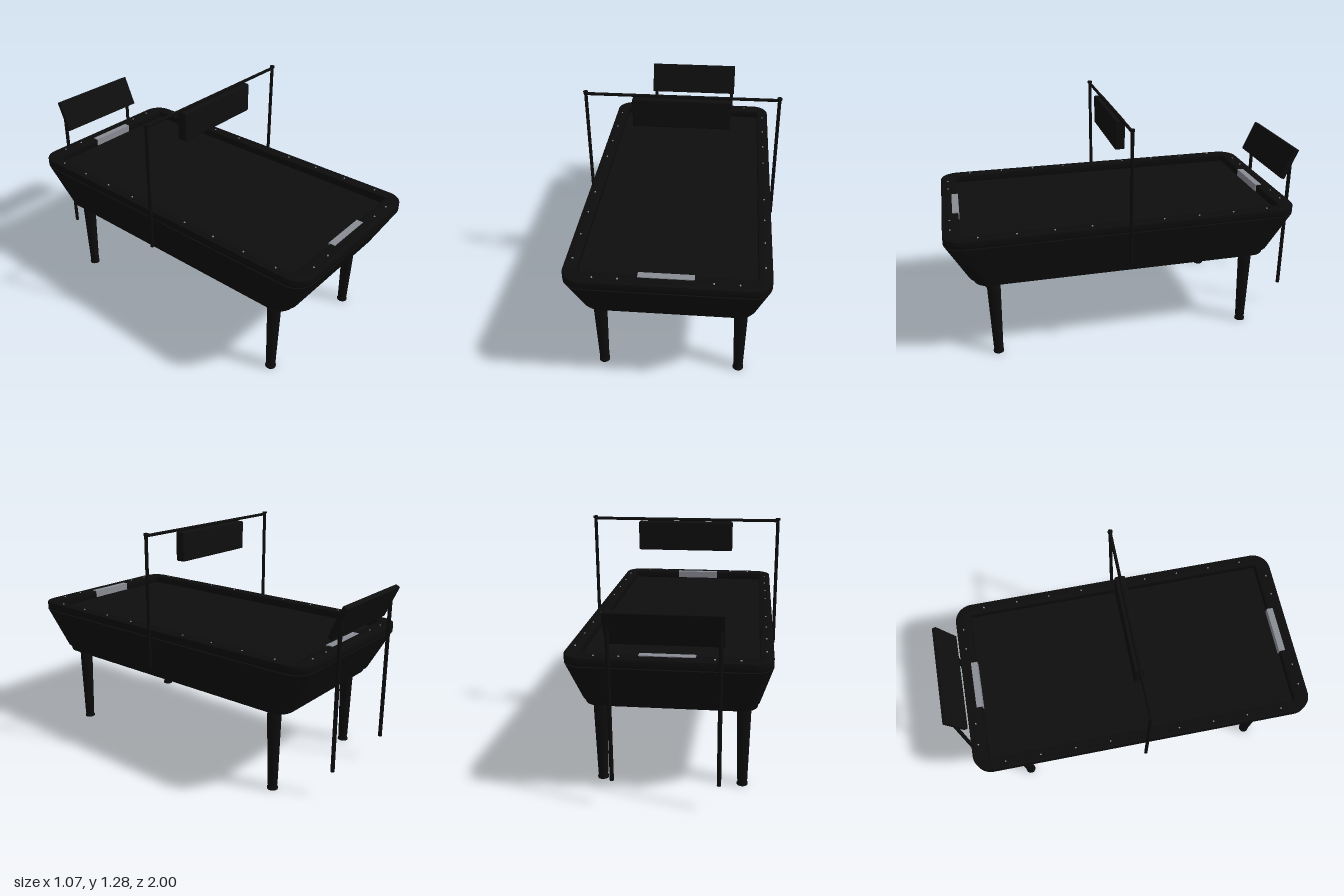
import * as THREE from 'three';
import { toCreasedNormals } from 'three/addons/utils/BufferGeometryUtils.js';
import { RoundedBoxGeometry } from 'three/addons/geometries/RoundedBoxGeometry.js';

const mat = (name, color) => {
  const m = new THREE.MeshStandardMaterial({ color });
  m.name = name;
  return m;
};

function roundedRect(hx, hz, r, Type = THREE.Shape) {
  const s = new Type();
  s.moveTo(hx, -hz + r);
  s.lineTo(hx, hz - r);
  s.absarc(hx - r, hz - r, r, 0, Math.PI / 2);
  s.lineTo(-hx + r, hz);
  s.absarc(-hx + r, hz - r, r, Math.PI / 2, Math.PI);
  s.lineTo(-hx, -hz + r);
  s.absarc(-hx + r, -hz + r, r, Math.PI, Math.PI * 1.5);
  s.lineTo(hx - r, -hz);
  s.absarc(hx - r, -hz + r, r, Math.PI * 1.5, Math.PI * 2);
  return s;
}

// Upright slab of a rounded outline, narrowed towards its underside
function taperedSlab(hx, hz, r, y0, y1, bottomScale) {
  const g = new THREE.ExtrudeGeometry(roundedRect(hx, hz, r), { depth: y1 - y0, bevelEnabled: false, curveSegments: 8 });
  g.rotateX(-Math.PI / 2);
  const p = g.attributes.position;
  for (let i = 0; i < p.count; i++) {
    if (p.getY(i) < 0.001) {
      p.setX(i, p.getX(i) * bottomScale);
      p.setZ(i, p.getZ(i) * bottomScale);
    }
  }
  g.translate(0, y0, 0);
  return toCreasedNormals(g, 0.6);
}

export function createModel() {
  const black = mat('black', 0x0c0c0c);
  const panel = mat('panelBlack', 0x0e0e0e);
  const metal = mat('metal', 0x8a8c94);

  const model = new THREE.Group();
  const table = new THREE.Group();
  table.name = 'table';
  table.position.z = 0.045;
  model.add(table);

  const add = (parent, name, geometry, material, x = 0, y = 0, z = 0) => {
    const m = new THREE.Mesh(geometry, material);
    m.name = name;
    m.position.set(x, y, z);
    parent.add(m);
    return m;
  };

  // Cabinet, whose top is the playing surface, and its base slab
  add(table, 'cabinet', taperedSlab(0.505, 0.955, 0.1, 0.485, 0.708, 0.882), panel);
  add(table, 'baseSlab', taperedSlab(0.44, 0.825, 0.08, 0.455, 0.486, 0.99), black);

  // Rail frame around the playing surface
  const frame = roundedRect(0.505, 0.955, 0.1);
  frame.holes.push(roundedRect(0.437, 0.868, 0.01, THREE.Path));
  const bevel = 0.005;
  const rail = new THREE.ExtrudeGeometry(frame, {
    depth: 0.044 - 2 * bevel, bevelThickness: bevel, bevelSize: bevel, bevelOffset: -bevel,
    bevelSegments: 2, curveSegments: 8,
  });
  rail.rotateX(-Math.PI / 2);
  add(table, 'rail', toCreasedNormals(rail, 0.6), black, 0, 0.711 + bevel, 0);

  // Goal plates, folded over the rail's inner edge
  for (const s of [-1, 1]) {
    add(table, 'goalTop', new THREE.BoxGeometry(0.272, 0.005, 0.036), metal, 0, 0.7565, s * 0.88);
    add(table, 'goalFace', new THREE.BoxGeometry(0.272, 0.04, 0.005), metal, 0, 0.737, s * 0.8645);
  }

  // Rail screws
  const screw = new THREE.CylinderGeometry(0.004, 0.005, 0.005, 8);
  for (const s of [-1, 1]) {
    for (const z of [0.195, 0.39, 0.585, 0.78]) {
      for (const t of [-1, 1]) add(table, 'screw', screw, metal, s * 0.47, 0.757, t * z);
    }
    for (const x of [-0.35, -0.228, 0.228, 0.35]) add(table, 'screw', screw, metal, x, 0.757, s * 0.915);
  }

  // Turned legs with feet
  const leg = new THREE.LatheGeometry(
    [[0, 0], [0.029, 0], [0.029, 0.008], [0.023, 0.02], [0.026, 0.026], [0.036, 0.4], [0.036, 0.457], [0, 0.457]]
      .map(([x, y]) => new THREE.Vector2(x, y)), 20);
  for (const x of [-0.368, 0.368]) {
    for (const z of [-0.718, 0.718]) add(table, 'leg', leg, black, x, 0, z);
  }

  // Overhead scoreboard frame
  const post = new THREE.CylinderGeometry(0.0095, 0.0095, 0.73, 12);
  const cap = new THREE.CylinderGeometry(0.0135, 0.0135, 0.012, 12);
  for (const x of [-0.523, 0.523]) {
    add(table, 'scoreboardPost', post, black, x, 0.905, 0);
    add(table, 'postCap', cap, black, x, 1.273, 0);
  }
  const bar = new THREE.CylinderGeometry(0.0085, 0.0085, 1.046, 12);
  bar.rotateZ(Math.PI / 2);
  add(table, 'crossbar', bar, black, 0, 1.265, 0);
  add(table, 'scoreboard', new RoundedBoxGeometry(0.536, 0.163, 0.056, 2, 0.009), panel, 0, 1.1715, 0);

  // Tilted sign behind the table, on two poles
  const sign = add(model, 'sign', new RoundedBoxGeometry(0.554, 0.187, 0.028, 2, 0.004), panel, 0, 0.927, -0.95);
  sign.rotation.x = -0.42;
  const pole = new THREE.CylinderGeometry(0.0105, 0.0105, 0.78, 12);
  for (const x of [-0.26, 0.26]) add(model, 'signPole', pole, black, x, 0.54, -0.96);

  return model;
}
